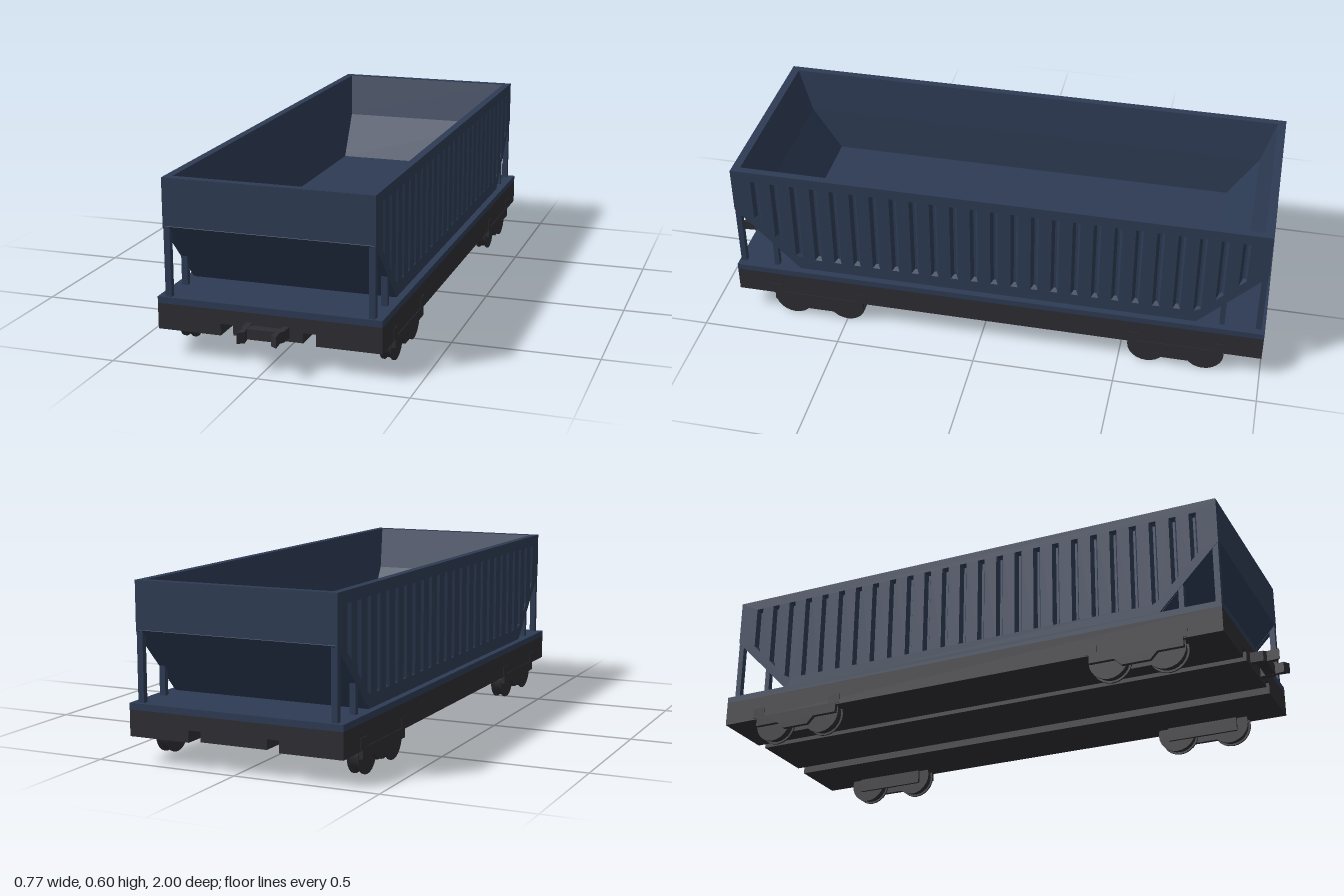
import * as THREE from 'three';

const blue = new THREE.MeshStandardMaterial({ color: 0x2d3b54, side: THREE.DoubleSide });
blue.name = 'navyPaint';
const dark = new THREE.MeshStandardMaterial({ color: 0x2e2d33 });
dark.name = 'darkSteel';

function add(parent, name, geometry, material, x = 0, y = 0, z = 0) {
  const mesh = new THREE.Mesh(geometry, material);
  mesh.name = name;
  mesh.position.set(x, y, z);
  parent.add(mesh);
  return mesh;
}

const box = (w, h, d) => new THREE.BoxGeometry(w, h, d);
const outline = (pts) => new THREE.Shape(pts.map(([x, y]) => new THREE.Vector2(x, y)));
const extrude = (shape, depth) =>
  new THREE.ExtrudeGeometry(shape, { depth, bevelEnabled: false, curveSegments: 10 });

// Flat-shaded skin through four-cornered rings, closed at the last ring
function loft(rings) {
  const pos = [];
  const quad = (a, b, c, d) => [a, b, c, a, c, d].forEach((p) => pos.push(...p));
  for (let r = 0; r < rings.length - 1; r++) {
    for (let i = 0; i < 4; i++) {
      const j = (i + 1) % 4;
      quad(rings[r][i], rings[r][j], rings[r + 1][j], rings[r + 1][i]);
    }
  }
  quad(...rings[rings.length - 1]);
  const g = new THREE.BufferGeometry();
  g.setAttribute('position', new THREE.Float32BufferAttribute(pos, 3));
  g.computeVertexNormals();
  return g;
}

// Hopper dimensions, measured from its own centre along z
const HALF_W = 0.357, TOP = 0.597, DECK = 0.2, END = 0.941, FOOT = 0.715, KNEE = 0.432;
const slopeY = (z) => DECK + Math.max(0, (Math.abs(z) - FOOT) * (KNEE - DECK) / (END - FOOT));

function addSide(hopper, side) {
  const wall = new THREE.Group();
  wall.name = side > 0 ? 'leftWall' : 'rightWall';
  wall.rotation.y = side * Math.PI / 2;
  wall.position.x = side * 0.335;
  hopper.add(wall);
  const t = 0.022;
  const panel = outline([[-FOOT, DECK], [FOOT, DECK], [END, KNEE], [END, TOP], [-END, TOP], [-END, KNEE]]);

  // Row of pressed grooves, shortened above the sloping ends
  for (let i = -12; i <= 12; i++) {
    const c = i * 0.0715, h = 0.013;
    const foot = (x) => Math.max(0.24, slopeY(x) + 0.045);
    const a = c - h, b = c + h, e = 0.009;
    const rim = [[a, foot(a)], [b, foot(b)], [b, 0.56], [a, 0.56]];
    const bed = [[a + e, foot(a + e) + e], [b - e, foot(b - e) + e], [b - e, 0.551], [a + e, 0.551]];
    panel.holes.push(outline(rim));
    add(wall, 'sideGroove', loft([
      rim.map(([x, y]) => [x, y, t]),
      bed.map(([x, y]) => [x, y, t - 0.016]),
    ]), blue);
  }
  add(wall, 'sidePanel', extrude(panel, t), blue);
}

function addHopper(model) {
  const hopper = new THREE.Group();
  hopper.name = 'hopper';
  hopper.position.z = -0.047;
  model.add(hopper);
  [-1, 1].forEach((side) => addSide(hopper, side));

  // Inner skin: steep upper walls, sloping ends and a flat floor
  const ring = (x, y, z) => [[-x, y, z], [x, y, z], [x, y, -z], [-x, y, -z]];
  add(hopper, 'innerSkin', loft([
    ring(0.33, TOP, 0.912), ring(0.315, 0.44, 0.862), ring(0.31, 0.28, 0.755),
  ]), blue);

  // Top rim
  const rect = (x, y) => outline([[-x, -y], [x, -y], [x, y], [-x, y]]);
  const rim = rect(HALF_W, END);
  rim.holes.push(rect(0.33, 0.912));
  const rimGeometry = extrude(rim, 0.006);
  rimGeometry.rotateX(-Math.PI / 2);
  add(hopper, 'topRim', rimGeometry, blue, 0, TOP - 0.005, 0);

  for (const end of [-1, 1]) {
    // Upright end panel and the slope sheet below it
    add(hopper, 'endPanel', box(2 * HALF_W, TOP - 0.438, 0.02), blue,
      0, (TOP + 0.438) / 2, end * (END - 0.0095));
    const rise = 0.438 - DECK, run = END - FOOT;
    const sheet = add(hopper, 'endSlope', box(0.7, Math.hypot(rise, run), 0.004), blue,
      0, DECK + rise / 2, end * (END + FOOT) / 2);
    sheet.rotation.x = end * Math.atan2(run, rise);

    // Corner and inner posts
    for (const side of [-1, 1]) {
      add(hopper, 'cornerPost', box(0.021, 0.24, 0.02), blue, side * 0.345, 0.32, end * 0.93);
      add(hopper, 'innerPost', box(0.021, 0.1, 0.018), blue, side * 0.345, 0.25, end * 0.804);
    }
  }
}

function addBogieSide(model, side, z) {
  const bogie = new THREE.Group();
  bogie.name = 'bogieSide';
  bogie.position.z = z;
  model.add(bogie);

  // Two wheels with raised edges
  for (const dz of [-0.1, 0.1]) {
    [[0.04, 0.063, 0], [0.006, 0.07, -0.017], [0.006, 0.07, 0.017]].forEach(([w, r, dx]) => {
      const g = new THREE.CylinderGeometry(r, r, w, 24);
      g.rotateZ(Math.PI / 2);
      add(bogie, 'wheel', g, dark, side * 0.349 + dx, 0.07, dz);
    });
  }

  // Side frame: dipped beam with an upturned tab at each end
  const half = [[0.05, 0.036], [0.075, 0.062], [0.165, 0.062], [0.165, 0.094],
    [0.18, 0.094], [0.18, 0.132], [0.135, 0.132], [0.135, 0.098]];
  const frame = extrude(outline([...half, ...half.map(([x, y]) => [-x, y]).reverse()]), 0.014);
  frame.rotateY(Math.PI / 2);
  add(bogie, 'sideFrame', frame, dark, side * 0.376 - 0.007, 0, 0);
  add(bogie, 'innerFrame', box(0.01, 0.055, 0.26), dark, side * 0.325, 0.068, 0);
}

export function createModel() {
  const model = new THREE.Group();
  model.name = 'hopperWagon';

  // Chassis with two lengthwise channels underneath
  const half = [[0.119, 0.096], [0.119, 0.13], [0.162, 0.13], [0.162, 0.09], [0.381, 0.09], [0.381, 0.178]];
  const section = outline([...half, ...half.map(([x, y]) => [-x, y]).reverse()]);
  add(model, 'chassis', extrude(section, 1.9), dark, 0, 0, -1);
  add(model, 'deck', box(0.762, 0.022, 1.9), blue, 0, 0.189, -0.05);

  addHopper(model);
  for (const side of [-1, 1]) {
    addBogieSide(model, side, 0.6);
    addBogieSide(model, side, -0.7);
  }

  // Forked coupler
  for (const side of [-1, 1]) {
    const arm = extrude(outline([[0.052, -0.89], [0.074, -0.89], [0.07, -0.945], [0.062, -0.955],
      [0.066, -1], [0.044, -0.985], [0.05, -0.95]].map(([x, y]) => [side * x, y])), 0.037);
    arm.rotateX(-Math.PI / 2);
    add(model, 'couplerArm', arm, dark, 0, 0.108, 0);
  }
  add(model, 'couplerBar', box(0.11, 0.035, 0.035), dark, 0, 0.126, 0.935);
  return model;
}
